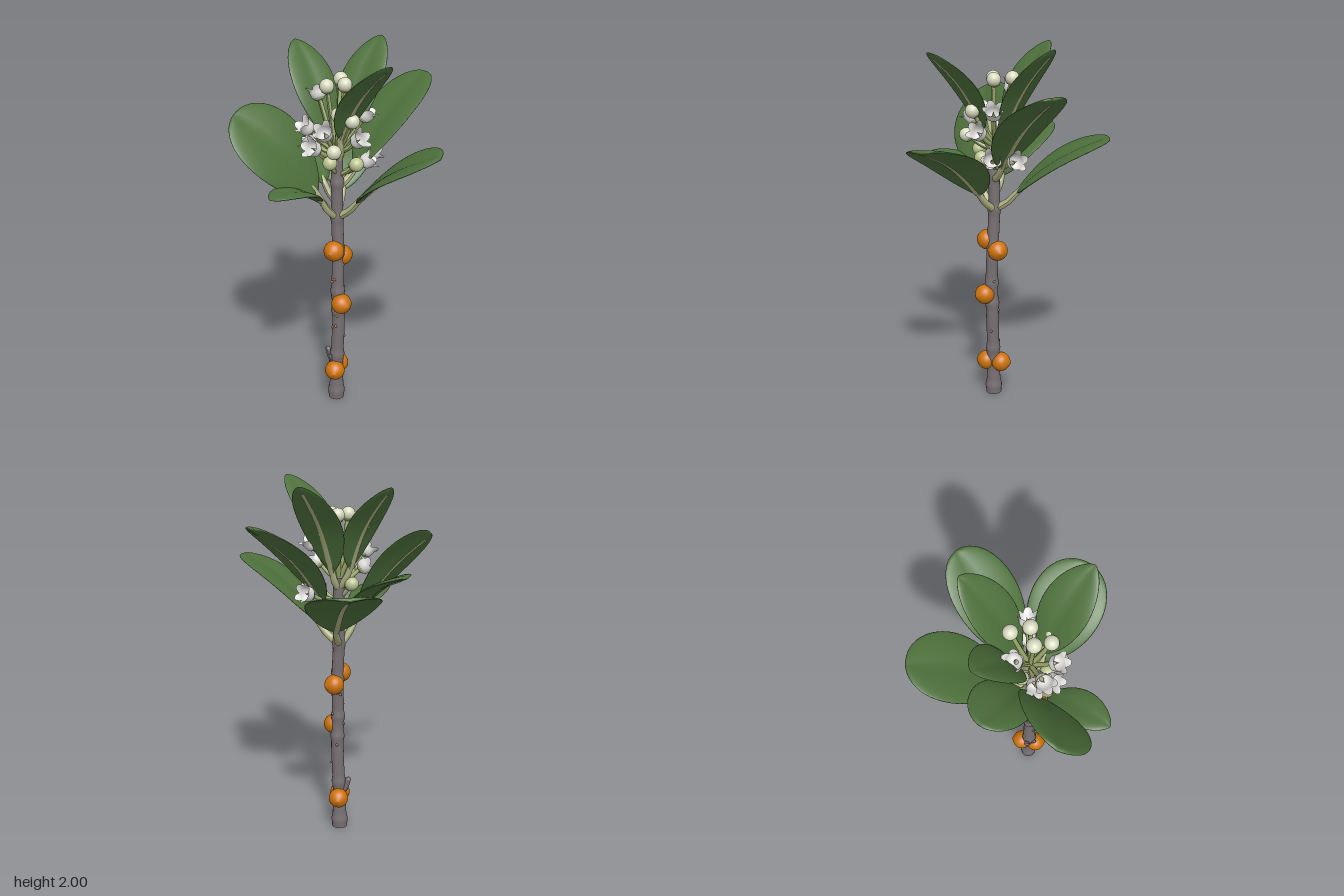
import * as THREE from 'three';
import { mergeVertices } from 'three/addons/utils/BufferGeometryUtils.js';

const mat = (name, color, side = THREE.FrontSide) => {
  const m = new THREE.MeshStandardMaterial({ color, side });
  m.name = name;
  return m;
};
const V = (a) => new THREE.Vector3(...a);
const UP = new THREE.Vector3(0, 1, 0);

export function createModel() {
  const mats = {
    bark: mat('greyBark', 0x787073),
    leaf: mat('leafGreen', 0x4e713c),
    rib: mat('paleRib', 0xb0b384),
    stalk: mat('flowerStalkGreen', 0x9cab6c),
    bud: mat('budCream', 0xd8dac0),
    youngBud: mat('budGreen', 0xbfc795),
    petal: mat('petalWhite', 0xdfdedb, THREE.DoubleSide),
    fruit: mat('orangeFruit', 0xcc720a),
  };
  const model = new THREE.Group();
  model.name = 'floweringBranch';

  const add = (parent, name, geometry, material) => {
    const m = new THREE.Mesh(geometry, material);
    m.name = name;
    parent.add(m);
    return m;
  };

  // Tube through points whose radius follows a rule of t (0..1)
  const taperTube = (points, radius, segments = 12, sides = 8) => {
    const curve = new THREE.CatmullRomCurve3(points);
    const g = new THREE.TubeGeometry(curve, segments, 1, sides);
    const p = g.attributes.position, v = new THREE.Vector3();
    for (let i = 0; i < p.count; i++) {
      const t = Math.floor(i / (sides + 1)) / segments;
      const c = curve.getPointAt(t);
      v.fromBufferAttribute(p, i).sub(c).multiplyScalar(radius(t)).add(c);
      p.setXYZ(i, v.x, v.y, v.z);
    }
    g.computeVertexNormals();
    return g;
  };

  // Woody stem with swollen nodes
  const stemPoints = [[-0.037, 0, 0.095], [-0.032, 0.25, 0.096], [-0.022, 0.5, 0.095], [-0.025, 0.7, 0.1],
    [-0.022, 0.9, 0.092], [-0.03, 1.12, 0.084], [-0.028, 1.3, 0.085], [-0.03, 1.48, 0.08]].map(V);
  const nodes = [0.03, 0.19, 0.38, 0.46, 0.61, 0.75, 0.88];
  const stemRadius = (t) => 0.037 - 0.007 * t + (t < 0.1 ? 0.007 * (1 - t / 0.1) : 0) +
    nodes.reduce((s, n) => s + 0.006 * Math.exp(-(((t - n) / 0.013) ** 2)), 0);
  const stem = new THREE.Group();
  stem.name = 'stem';
  model.add(stem);
  add(stem, 'trunk', taperTube(stemPoints, stemRadius, 90, 16), mats.bark);
  const cap = add(stem, 'cutEnd', new THREE.CircleGeometry(0.045, 16), mats.bark);
  cap.position.set(-0.037, 0.001, 0.095);
  cap.rotation.x = Math.PI / 2;
  add(stem, 'twigStub', taperTube([[-0.04, 0.2, 0.09], [-0.07, 0.25, 0.09], [-0.09, 0.315, 0.085]].map(V),
    (t) => (t === 1 ? 0 : 0.019 - 0.005 * t)), mats.bark);
  add(stem, 'twigSpur', taperTube([[-0.05, 0.23, 0.1], [-0.06, 0.27, 0.125], [-0.06, 0.29, 0.135]].map(V),
    (t) => (t === 1 ? 0 : 0.01)), mats.bark);
  for (let i = 0; i < 8; i++) {
    const a = i * 2.4, y = 0.4 + i * 0.06;
    const bump = add(stem, 'barkBump', new THREE.SphereGeometry(0.008, 8, 6), mats.bark);
    bump.position.set(-0.025 + 0.034 * Math.cos(a), y, 0.095 + 0.034 * Math.sin(a));
  }
  for (const p of [[-0.03, 0.475, 0.13], [-0.05, 0.745, 0.127], [-0.022, 0.54, 0.13]]) {
    add(stem, 'tinyFruitBud', new THREE.SphereGeometry(0.008, 8, 6), mats.fruit).position.set(...p);
  }

  // Orange fruits with a small point facing away from the stem
  const fruitProfile = [[0, -0.052], [0.027, -0.046], [0.047, -0.027], [0.055, 0], [0.048, 0.026],
    [0.031, 0.044], [0.012, 0.055], [0, 0.06]].map((p) => new THREE.Vector2(...p));
  const fruitGeometry = new THREE.LatheGeometry(new THREE.SplineCurve(fruitProfile).getPoints(20), 24);
  for (const [x, y, z, tx, tz] of [[-0.037, 0.93, 0.13, -0.2, 1], [-0.008, 0.88, 0.06, 1, -0.6],
    [0.003, 0.62, 0.132, 0.8, 0.7], [-0.035, 0.195, 0.135, 0.1, 1], [-0.033, 0.195, 0.052, 0, -1]]) {
    const f = add(model, 'fruit', fruitGeometry, mats.fruit);
    f.position.set(x, y, z);
    f.quaternion.setFromUnitVectors(UP, new THREE.Vector3(tx, 0, tz).normalize());
  }

  // Thick leaf: a sphere stretched into an obovate, lightly folded and arched blade
  const leaf = (base, start, tip, width, pointed, roll = 0) => {
    const group = new THREE.Group();
    group.name = 'leaf';
    model.add(group);
    const s = V(start), d = V(tip).sub(s), length = d.length();
    d.normalize();
    const w = d.clone().cross(UP).normalize().applyAxisAngle(d, -roll), n = w.clone().cross(d);
    const a = pointed ? 0.8 : 0.7, b = pointed ? 0.68 : 0.47, peak = a / (a + b);
    const top = peak ** a * (1 - peak) ** b;
    const half = (u) => (width / 2) * (Math.max(u, 0) ** a * Math.max(1 - u, 0) ** b) / top;
    const centre = (u) => s.clone().addScaledVector(d, u * length)
      .addScaledVector(n, 0.035 * Math.sin(Math.PI * u) - 0.01 * u * u);
    let g = new THREE.SphereGeometry(1, 32, 28);
    g.deleteAttribute('uv');
    g.deleteAttribute('normal');
    g = mergeVertices(g);
    const p = g.attributes.position;
    for (let i = 0; i < p.count; i++) {
      const u = THREE.MathUtils.clamp((1 + p.getY(i)) / 2, 0, 1);
      const r = Math.hypot(p.getX(i), p.getZ(i)) || 1;
      const c = p.getX(i) / r, q = p.getZ(i) / r, h = half(u);
      const thick = 0.011 * Math.min(1, h / 0.05);
      const lift = h * (0.2 * Math.abs(c) - 0.13 * c * c);
      const v = centre(u).addScaledVector(w, h * c).addScaledVector(n, thick * q + lift);
      p.setXYZ(i, v.x, v.y, v.z);
    }
    g.computeVertexNormals();
    add(group, 'blade', g, mats.leaf);
    // Pale midrib strip on the underside
    const rib = new THREE.PlaneGeometry(2, 1, 2, 24), rp = rib.attributes.position;
    for (let i = 0; i < rp.count; i++) {
      const u = 0.02 + 0.9 * (rp.getY(i) + 0.5), x = rp.getX(i);
      const v = centre(u).addScaledVector(w, -x * (0.017 - 0.008 * u))
        .addScaledVector(n, -0.0155 + 0.003 * x * x);
      rp.setXYZ(i, v.x, v.y, v.z);
    }
    rib.computeVertexNormals();
    add(group, 'midrib', rib, mats.rib);
    const mid = V(base).lerp(s, 0.5).addScaledVector(n, -0.008);
    add(group, 'petiole', taperTube([V(base), mid, s, centre(0.1)], (t) => 0.021 - 0.007 * t, 12, 10), mats.rib);
  };
  // Lower whorl
  leaf([-0.03, 1.12, 0.065], [-0.025, 1.21, -0.04], [-0.135, 1.52, -0.505], 0.38, false);
  leaf([-0.01, 1.12, 0.09], [0.09, 1.22, 0.13], [0.515, 1.555, 0.285], 0.38, false, -0.15);
  leaf([-0.05, 1.12, 0.09], [-0.12, 1.25, 0.14], [-0.5, 1.69, 0.27], 0.41, false, 0.72);
  leaf([-0.04, 1.12, 0.1], [-0.09, 1.23, 0.18], [-0.255, 1.36, 0.505], 0.2, true);
  // Middle pair
  leaf([-0.02, 1.28, 0.08], [0.05, 1.36, 0.02], [0.35, 1.81, -0.32], 0.33, false);
  leaf([-0.04, 1.2, 0.08], [-0.1, 1.28, 0.06], [-0.385, 1.54, -0.115], 0.3, false);
  // Upper leaves
  leaf([-0.03, 1.42, 0.08], [-0.09, 1.53, 0.04], [-0.295, 1.985, -0.14], 0.25, true);
  leaf([-0.025, 1.42, 0.075], [0.0, 1.51, 0.03], [0.125, 2.0, -0.26], 0.25, true);
  leaf([-0.02, 1.43, 0.085], [0.0, 1.55, 0.13], [0.27, 1.985, 0.32], 0.25, true);

  // Bell flower with five pointed lobes
  const bellProfile = [[0.006, 0], [0.026, 0.005], [0.038, 0.02], [0.041, 0.04], [0.042, 0.058], [0.054, 0.078]]
    .map((p) => new THREE.Vector2(...p));
  const bell = new THREE.LatheGeometry(bellProfile, 40);
  const bp = bell.attributes.position;
  for (let i = 0; i < bp.count; i++) {
    const row = i % bellProfile.length;
    if (row < 4) continue;
    const x = bp.getX(i), z = bp.getZ(i);
    const lobe = Math.abs(Math.cos(2.5 * Math.atan2(z, x)));
    const k = row === 5 ? 0.76 + 0.28 * lobe : 0.95 + 0.05 * lobe;
    bp.setXYZ(i, x * k, bp.getY(i) - (row === 5 ? 0.022 : 0.004) * (1 - lobe), z * k);
  }
  bell.computeVertexNormals();
  const budGeometry = new THREE.SphereGeometry(0.037, 20, 14);
  const calyxGeometry = new THREE.SphereGeometry(0.0395, 16, 6, 0, Math.PI * 2, Math.PI * 0.68, Math.PI * 0.32);
  const styleGeometry = new THREE.ConeGeometry(0.012, 0.05, 8);

  // One stalked blossom: an open flower, a cream bud or a young green bud
  const blossom = (kind, x, y, z) => {
    const group = new THREE.Group();
    group.name = kind;
    model.add(group);
    const pos = new THREE.Vector3(x, y, z);
    const root = new THREE.Vector3(-0.03, Math.min(y - 0.08, 1.46), 0.082);
    const axis = pos.clone().sub(root).normalize();
    const head = new THREE.Group();
    head.name = 'flowerHead';
    head.position.copy(pos);
    head.quaternion.setFromUnitVectors(UP, axis);
    group.add(head);
    add(head, 'calyx', calyxGeometry, mats.stalk);
    if (kind === 'openFlower') {
      add(head, 'petals', bell, mats.petal).position.y = -0.035;
      add(head, 'style', styleGeometry, mats.youngBud).position.y = -0.005;
    } else add(head, 'budBall', budGeometry, kind === 'youngBud' ? mats.youngBud : mats.bud);
    const bend = root.clone().lerp(pos, 0.5).add(new THREE.Vector3(0, -0.01, 0));
    add(group, 'flowerStalk', taperTube([root, bend, pos.clone().addScaledVector(axis, -0.03)],
      (t) => 0.013 - 0.002 * t, 8, 8), mats.stalk);
  };
  const blossoms = {
    flowerBud: [[-0.075, 1.81, 0.1], [-0.03, 1.82, -0.015], [0.01, 1.815, 0.072], [0.0, 1.69, 0.175],
      [0.07, 1.66, 0.17], [-0.01, 1.515, 0.23]],
    youngBud: [[-0.045, 1.435, 0.17], [0.08, 1.42, 0.12], [-0.1, 1.45, 0.05]],
    openFlower: [[-0.14, 1.75, 0.02], [-0.165, 1.61, 0.16], [-0.06, 1.6, 0.21], [-0.12, 1.515, 0.2],
      [-0.16, 1.53, 0.12], [0.11, 1.66, 0.045], [0.12, 1.42, -0.07], [0.09, 1.55, 0.13], [0.12, 1.42, 0.05]],
  };
  for (const [kind, list] of Object.entries(blossoms)) list.forEach((p) => blossom(kind, ...p));

  return model;
}
